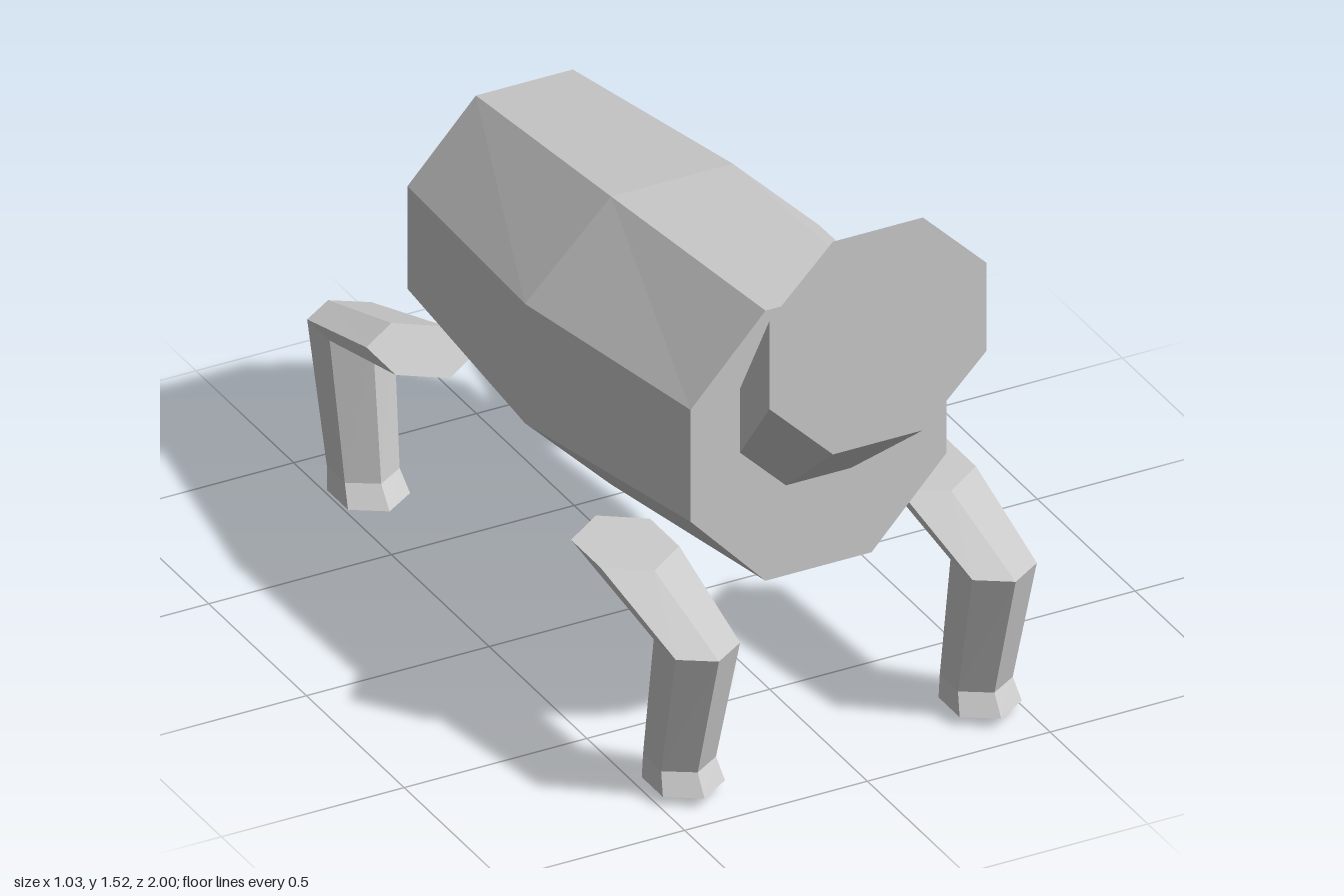
import * as THREE from 'three';

// Regular polygon ring facing +z, given by half width and half height across flats
function octagon(cx, cy, z, rx, ry) {
  const k = 1 / Math.cos(Math.PI / 8);
  return Array.from({ length: 8 }, (_, i) => {
    const a = (i + 0.5) * Math.PI / 4;
    return new THREE.Vector3(cx + Math.cos(a) * rx * k, cy + Math.sin(a) * ry * k, z);
  });
}

// Level six-sided ring with its points along z
function hexagon(y, cz, halfX, rz) {
  const k = halfX / Math.sin(Math.PI / 3);
  return Array.from({ length: 6 }, (_, i) => {
    const a = i * Math.PI / 3;
    return new THREE.Vector3(Math.sin(a) * k, y, cz + Math.cos(a) * rz);
  });
}

// Closed, faceted skin through a row of rings
function loft(rings) {
  const tris = [];
  const n = rings[0].length;
  for (let r = 0; r < rings.length - 1; r++) {
    const a = rings[r], b = rings[r + 1];
    for (let i = 0; i < n; i++) {
      const j = (i + 1) % n;
      tris.push(a[i], a[j], b[j], a[i], b[j], b[i]);
    }
  }
  const first = rings[0], last = rings[rings.length - 1];
  for (let i = 1; i < n - 1; i++) {
    tris.push(first[0], first[i + 1], first[i]);
    tris.push(last[0], last[i], last[i + 1]);
  }
  const geometry = new THREE.BufferGeometry().setFromPoints(tris);
  geometry.computeVertexNormals();
  return geometry;
}

export function createModel() {
  const model = new THREE.Group();
  const grey = new THREE.MeshStandardMaterial({ color: 0xcccccc, flatShading: true });
  grey.name = 'grey';

  const add = (name, geometry, x = 0) => {
    const mesh = new THREE.Mesh(geometry, grey);
    mesh.name = name;
    mesh.position.x = x;
    model.add(mesh);
  };

  // Barrel body, back to front
  add('body', loft([
    octagon(0, 0.705, -0.755, 0.32, 0.345),
    octagon(0, 0.763, 0, 0.402, 0.402),
    octagon(0, 0.848, 0.75, 0.35, 0.377),
  ]));

  // Head flaring up and forward, slightly turned to its left
  add('head', loft([
    octagon(0, 0.937, 0.75, 0.215, 0.215),
    octagon(0.037, 1.225, 0.985, 0.297, 0.297),
  ]));

  // Legs: foot, ankle, knee, thigh top
  const frontLeg = loft([
    hexagon(0.025, 0.818, 0.085, 0.108),
    hexagon(0.08, 0.798, 0.075, 0.093),
    hexagon(0.445, 0.887, 0.088, 0.113),
    hexagon(0.53, 0.52, 0.108, 0.15),
  ]);
  const backLeg = loft([
    hexagon(0, -0.793, 0.085, 0.108),
    hexagon(0.055, -0.82, 0.075, 0.092),
    hexagon(0.428, -0.885, 0.088, 0.115),
    hexagon(0.53, -0.527, 0.108, 0.15),
  ]);
  for (const [side, x] of [['left', 0.406], ['right', -0.406]]) {
    add(side + 'FrontLeg', frontLeg, x);
    add(side + 'BackLeg', backLeg, x);
  }

  return model;
}
